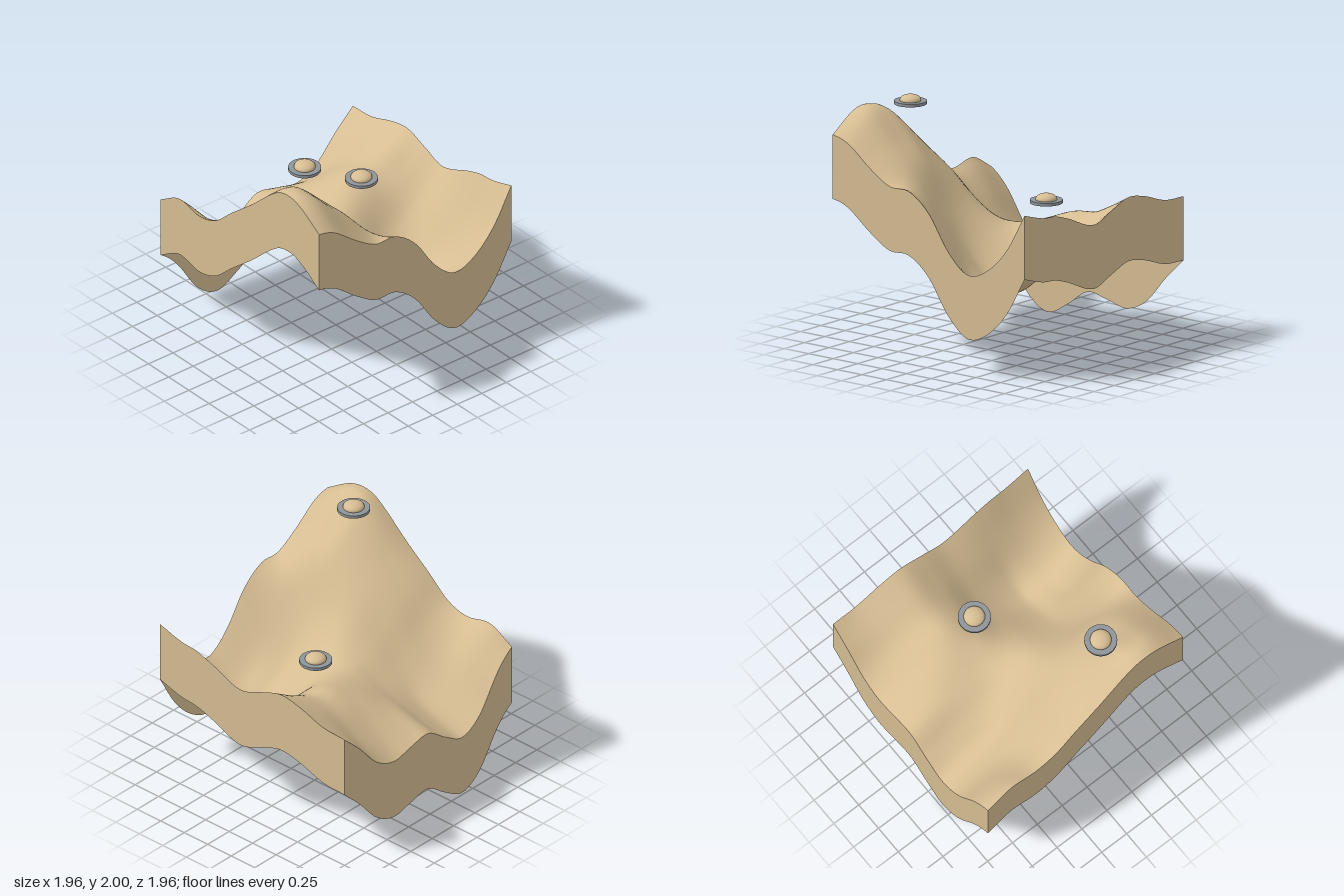
import * as THREE from 'three';

const HALF = 0.98, SKIRT = 0.52, SEGMENTS = 56;

// Height profiles: one cross-section along x for each z station
const XS = [-0.98, -0.9, -0.8, -0.6, -0.4, -0.2, 0, 0.2, 0.4, 0.6, 0.8, 0.98];
const ZS = [-0.98, -0.75, -0.5, -0.3, -0.1, 0.13, 0.45, 0.6, 0.75, 0.98];
const PROFILES = [
  [1.09, 1.03, 0.92, 0.63, 0.522, 0.62, 0.75, 0.72, 0.68, 0.77, 0.99, 1.165],
  [1.21, 1.13, 1.00, 0.73, 0.61, 0.68, 0.82, 0.85, 0.85, 0.91, 1.06, 1.18],
  [1.17, 1.12, 1.03, 0.85, 0.72, 0.77, 0.88, 0.97, 1.02, 1.06, 1.16, 1.26],
  [1.23, 1.205, 1.15, 1.02, 0.88, 0.86, 0.93, 1.01, 1.08, 1.10, 1.19, 1.29],
  [1.40, 1.39, 1.36, 1.25, 1.09, 0.99, 0.97, 0.985, 0.99, 1.00, 1.09, 1.225],
  [1.585, 1.585, 1.56, 1.45, 1.29, 1.11, 0.96, 0.85, 0.75, 0.79, 0.96, 1.15],
  [1.86, 1.87, 1.84, 1.67, 1.45, 1.13, 0.86, 0.67, 0.57, 0.66, 0.95, 1.265],
  [1.905, 1.915, 1.87, 1.68, 1.49, 1.18, 0.91, 0.70, 0.60, 0.69, 0.97, 1.31],
  [1.87, 1.875, 1.84, 1.66, 1.48, 1.27, 1.02, 0.76, 0.655, 0.75, 1.00, 1.325],
  [1.73, 1.715, 1.67, 1.52, 1.405, 1.395, 1.25, 0.97, 0.815, 0.88, 1.08, 1.39],
];

// Smooth cubic through unevenly spaced stations
function interpolate(stations, values, t) {
  const last = stations.length - 1;
  let i = 0;
  while (i < last - 1 && t > stations[i + 1]) i++;
  const slope = (k) => {
    const a = Math.max(k - 1, 0), b = Math.min(k + 1, last);
    return (values[b] - values[a]) / (stations[b] - stations[a]);
  };
  const d = stations[i + 1] - stations[i];
  const u = THREE.MathUtils.clamp((t - stations[i]) / d, 0, 1);
  const u2 = u * u, u3 = u2 * u;
  return (2 * u3 - 3 * u2 + 1) * values[i] + (u3 - 2 * u2 + u) * d * slope(i)
    + (3 * u2 - 2 * u3) * values[i + 1] + (u3 - u2) * d * slope(i + 1);
}

function heightAt(x, z) {
  return interpolate(ZS, PROFILES.map((row) => interpolate(XS, row, x)), z);
}

function makeMesh(name, geometry, material) {
  const mesh = new THREE.Mesh(geometry, material);
  mesh.name = name;
  return mesh;
}

// Rolling ground sheet
function groundGeometry() {
  const geo = new THREE.PlaneGeometry(2 * HALF, 2 * HALF, SEGMENTS, SEGMENTS);
  geo.rotateX(-Math.PI / 2);
  const p = geo.attributes.position;
  for (let i = 0; i < p.count; i++) p.setY(i, heightAt(p.getX(i), p.getZ(i)));
  geo.computeVertexNormals();
  return geo;
}

// Flat skirt hanging from one edge of the ground
function skirtGeometry(turn) {
  const geo = new THREE.PlaneGeometry(2 * HALF, 1, SEGMENTS, 1);
  geo.translate(0, 0, HALF);
  geo.rotateY(turn);
  const p = geo.attributes.position;
  for (let i = 0; i < p.count; i++) {
    const drop = p.getY(i) > 0 ? 0 : SKIRT;
    p.setY(i, heightAt(p.getX(i), p.getZ(i)) - drop);
  }
  return geo;
}

export function createModel() {
  const sand = new THREE.MeshStandardMaterial({ color: 0xd6bd93, side: THREE.DoubleSide });
  sand.name = 'sand';
  const grey = new THREE.MeshStandardMaterial({ color: 0x8e9499 });
  grey.name = 'grey';

  const model = new THREE.Group();
  model.name = 'terrainTile';
  model.add(makeMesh('ground', groundGeometry(), sand));
  ['frontSkirt', 'leftSkirt', 'backSkirt', 'rightSkirt'].forEach((name, k) => {
    model.add(makeMesh(name, skirtGeometry(k * Math.PI / 2), sand));
  });

  // Hovering markers: thin disc with a flattened ball through it
  const discGeo = new THREE.CylinderGeometry(0.13, 0.13, 0.025, 40);
  const ballGeo = new THREE.SphereGeometry(0.085, 32, 20).scale(1, 0.51, 1);
  for (const [x, y, z] of [[-0.657, 1.938, 0.41], [0.325, 1.197, -0.08]]) {
    const marker = new THREE.Group();
    marker.name = 'hoveringMarker';
    const ball = makeMesh('ball', ballGeo, sand);
    ball.position.y = 0.019;
    marker.add(makeMesh('disc', discGeo, grey), ball);
    marker.position.set(x, y, z);
    model.add(marker);
  }
  return model;
}
